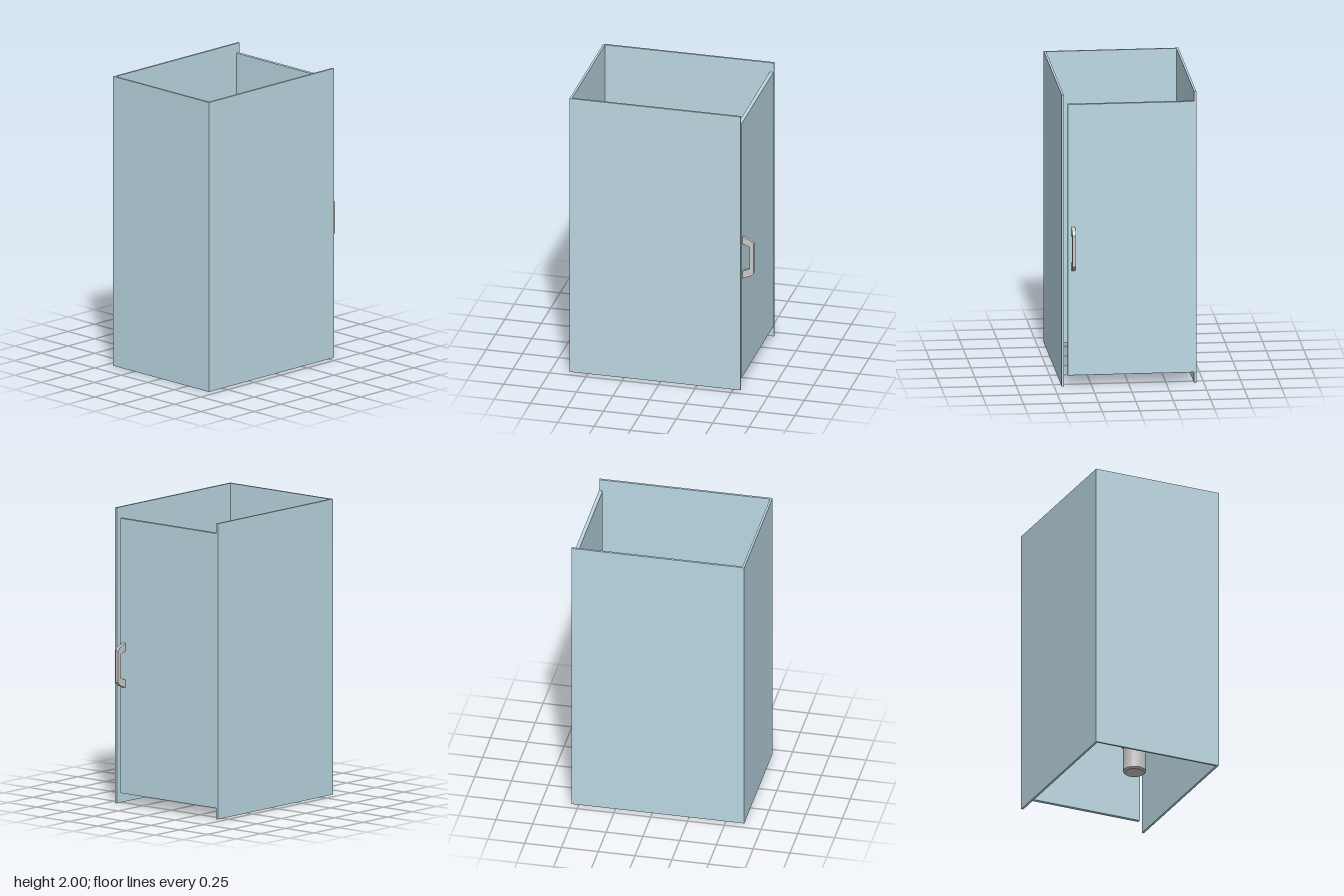
import * as THREE from 'three';
import { toCreasedNormals } from 'three/addons/utils/BufferGeometryUtils.js';

const panelMat = new THREE.MeshStandardMaterial({ color: 0xbcd8e3 });
const greyMat = new THREE.MeshStandardMaterial({ color: 0xcccccc });

function add(parent, name, geometry, material) {
  const mesh = new THREE.Mesh(geometry, material);
  mesh.name = name;
  parent.add(mesh);
  return mesh;
}

// Box given by its minimum and maximum corners
function panel(parent, name, min, max) {
  const size = max.map((v, i) => v - min[i]);
  const mesh = add(parent, name, new THREE.BoxGeometry(...size), panelMat);
  mesh.position.set(...max.map((v, i) => (v + min[i]) / 2));
}

// Skin closed rings of points, ordered from the first ring to the last
function loft(rings) {
  const n = rings[0].length;
  const index = [];
  for (let i = 0; i < rings.length - 1; i++) {
    for (let j = 0; j < n; j++) {
      const a = i * n + j, b = i * n + (j + 1) % n;
      index.push(a, a + n, b, b, a + n, b + n);
    }
  }
  const geometry = new THREE.BufferGeometry();
  geometry.setAttribute('position', new THREE.Float32BufferAttribute(rings.flat(2), 3));
  geometry.setIndex(index);
  return toCreasedNormals(geometry, 0.6);
}

function createToilet() {
  const toilet = new THREE.Group();
  toilet.name = 'toilet';
  toilet.position.z = 0.007;

  // Seat outline: rounded at the front, squared off at the hinge
  const cx = -0.25;
  const half = [[-0.015, 0], [-0.033, 0.073], [-0.085, 0.14], [-0.165, 0.185], [-0.26, 0.2],
    [-0.35, 0.188], [-0.42, 0.172], [-0.455, 0.165], [-0.47, 0.135], [-0.47, 0]];
  const outline = [...half, ...half.slice(1, -1).reverse().map(([x, z]) => [x, -z])];
  const ellipse = (y, x0, rx, rz) => outline.map(([x, z]) => {
    const t = Math.atan2(z, x - cx);
    return [x0 + rx * Math.cos(t), y, rz * Math.sin(t)];
  });
  // Blend from the round pedestal (0) to the seat outline (1)
  const blend = (y, k) => outline.map(([x, z]) => {
    const t = Math.atan2(z, x - cx);
    const r = 0.077;
    return [
      THREE.MathUtils.lerp(cx + r * Math.cos(t), x, k), y,
      THREE.MathUtils.lerp(r * Math.sin(t), z, k)];
  });

  // Pedestal, bowl, rim and basin as one skin
  add(toilet, 'bowl', loft([
    ellipse(0.018, cx, 0, 0), ellipse(0.018, cx, 0.067, 0.067), ellipse(0.03, cx, 0.077, 0.077),
    blend(0.2, 0), blend(0.23, 0.18), blend(0.27, 0.5), blend(0.31, 0.75), blend(0.36, 0.9),
    blend(0.36, 1), blend(0.42, 1),
    ellipse(0.42, -0.26, 0.157, 0.108), ellipse(0.37, -0.262, 0.147, 0.1),
    ellipse(0.31, -0.268, 0.115, 0.08), ellipse(0.26, -0.278, 0.065, 0.048),
    ellipse(0.23, -0.285, 0.022, 0.018), ellipse(0.21, -0.288, 0, 0),
  ]), greyMat);

  // Raised oval lid leaning back
  const shape = new THREE.Shape().absellipse(0, 0, 0.211, 0.224, 0, Math.PI * 2);
  const geometry = new THREE.ExtrudeGeometry(shape, { depth: 0.021, bevelEnabled: false, curveSegments: 14 });
  geometry.translate(0, 0, -0.021).rotateY(Math.PI / 2);
  const lid = add(toilet, 'lid', toCreasedNormals(geometry, 0.6), greyMat);
  lid.position.set(-0.528, 0.636, 0);
  lid.rotation.z = 0.26;
  return toilet;
}

export function createModel() {
  const model = new THREE.Group();
  model.name = 'toiletCubicle';

  // Three full-height walls, open at top and bottom
  const t = 0.015;
  panel(model, 'backWall', [-0.625, 0, -0.45], [-0.625 + t, 2, 0.45]);
  for (const s of [-1, 1]) {
    const z = s * (0.45 - t / 2);
    panel(model, s > 0 ? 'frontSideWall' : 'rearSideWall', [-0.625 + t, 0, z - t / 2], [0.55, 2, z + t / 2]);
  }

  // Door, clear of the ground and of one wall
  panel(model, 'door', [0.521, 0.073, -0.435], [0.546, 1.932, 0.408]);

  // Angular pull handle
  const profile = [[0.545, 1.092], [0.603, 1.073], [0.623, 1.05], [0.623, 0.835], [0.603, 0.812], [0.545, 0.79],
    [0.545, 0.842], [0.593, 0.862], [0.593, 1.025], [0.545, 1.042]];
  const handle = add(model, 'doorHandle', new THREE.ExtrudeGeometry(
    new THREE.Shape(profile.map(p => new THREE.Vector2(...p))),
    { depth: 0.025, bevelEnabled: false }), greyMat);
  handle.position.z = 0.36;

  model.add(createToilet());
  return model;
}
